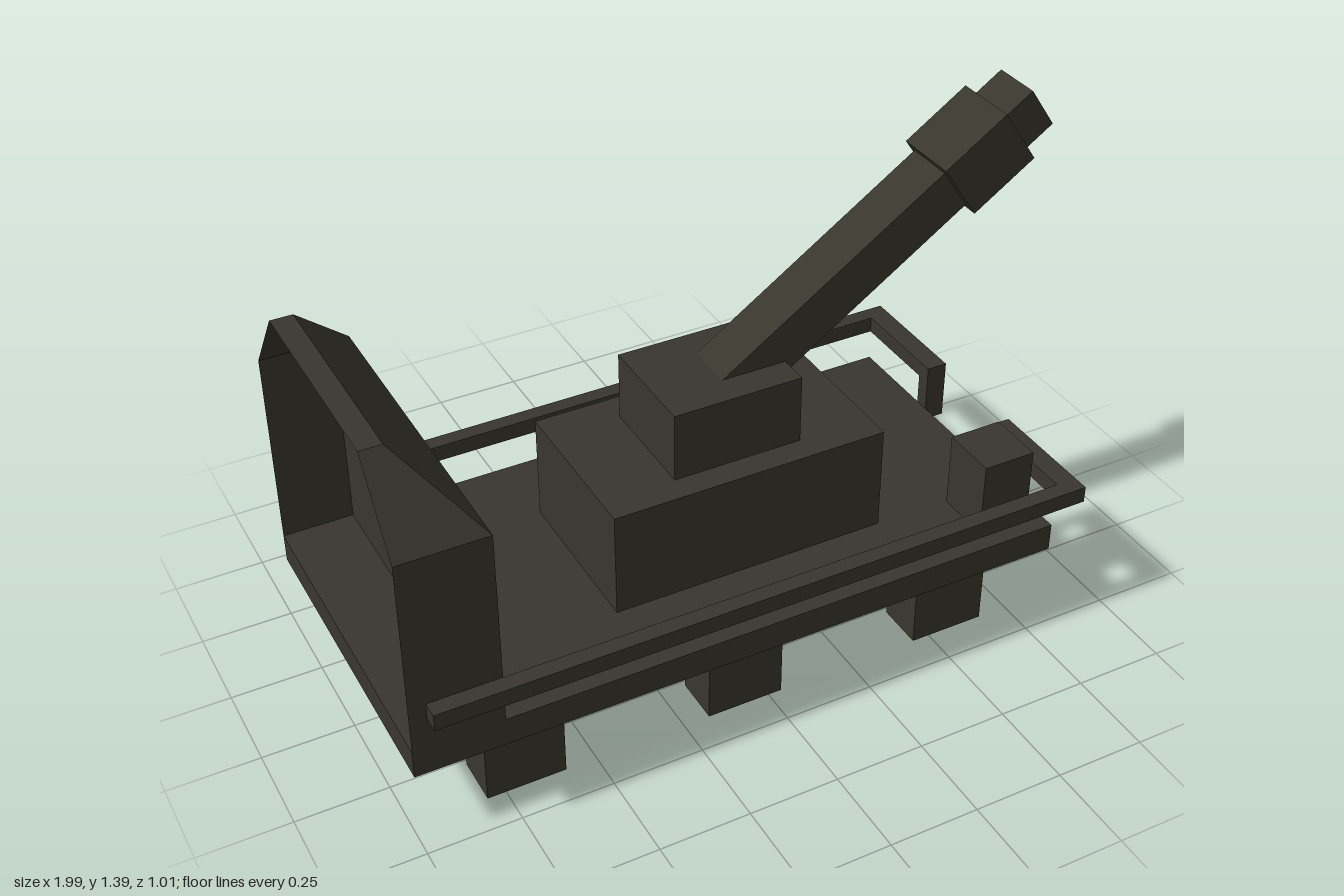
import * as THREE from 'three';

export function createModel() {
  const model = new THREE.Group();
  const paint = new THREE.MeshStandardMaterial({ color: 0x38362d, side: THREE.DoubleSide });
  paint.name = 'dark olive';

  const add = (name, geometry, parent = model) => {
    const mesh = new THREE.Mesh(geometry, paint);
    mesh.name = name;
    parent.add(mesh);
    return mesh;
  };
  // Box given by its limits on each axis
  const box = (name, [x0, x1], [y0, y1], [z0, z1], parent) => {
    const mesh = add(name, new THREE.BoxGeometry(x1 - x0, y1 - y0, z1 - z0), parent);
    mesh.position.set((x0 + x1) / 2, (y0 + y1) / 2, (z0 + z1) / 2);
    return mesh;
  };
  const span = (s, a, b) => (s > 0 ? [a, b] : [-b, -a]);

  // Deck, gun housing and locker
  box('deck', [-1, 0.83], [0.22, 0.3], [-0.46, 0.46]);
  box('gunBase', [-0.355, 0.425], [0.3, 0.6], [-0.235, 0.235]);
  box('turret', [-0.15, 0.215], [0.6, 0.795], [-0.15, 0.163]);
  box('locker', [0.64, 0.79], [0.3, 0.515], [0.24, 0.4]);

  for (const s of [1, -1]) {
    // Feet
    for (const x of [-0.8, -0.177, 0.45]) {
      box('foot', [x, x + 0.215], [0, 0.22], span(s, 0.265, 0.4));
    }
    // Railing: long side bar, end bar and hanging post
    const rail = new THREE.Group();
    rail.name = 'railing';
    model.add(rail);
    box('sideRail', [-0.955, 0.89], [0.39, 0.437], span(s, 0.462, 0.507), rail);
    box('endRail', [0.83, 0.89], [0.39, 0.437], span(s, 0.155, 0.462), rail);
    box('railPost', [0.83, 0.89], [0.263, 0.39], span(s, 0.155, 0.197), rail);
  }

  // Gun, built along x and then raised
  const gun = new THREE.Group();
  gun.name = 'gun';
  gun.position.set(0.957, 1.34, 0.008);
  gun.rotation.z = 0.594;
  model.add(gun);
  box('barrel', [-1.09, 0], [-0.066, 0.066], [-0.07, 0.07], gun);
  box('muzzleCollar', [-0.305, -0.095], [-0.089, 0.089], [-0.093, 0.093], gun);

  // Cabin: front wall with doorway, thin sides and roof, open at the rear
  const cabin = new THREE.Group();
  cabin.name = 'cabin';
  model.add(cabin);
  const wall = new THREE.Shape([
    [-0.458, 0.3], [-0.11, 0.3], [-0.11, 0.705], [0.11, 0.705],
    [0.11, 0.3], [0.458, 0.3], [0.458, 0.86], [-0.458, 0.86],
  ].map(([x, y]) => new THREE.Vector2(x, y)));
  const wallGeometry = new THREE.ExtrudeGeometry(wall, { depth: 0.045, bevelEnabled: false });
  wallGeometry.rotateY(Math.PI / 2).translate(-0.805, 0, 0);
  add('doorWall', wallGeometry, cabin);

  const panel = (name, a, b, c, d) => {
    const geometry = new THREE.BufferGeometry();
    geometry.setAttribute('position',
      new THREE.Float32BufferAttribute([a, b, c, a, c, d].flat(), 3));
    geometry.computeVertexNormals();
    add(name, geometry, cabin);
  };
  for (const s of [1, -1]) {
    const z = 0.46 * s, t = 0.3 * s;
    const side = [[-1, 0.3, z], [-0.76, 0.3, z], [-0.76, 0.86, z], [-1, 0.86, z]];
    const slope = [[-1, 0.86, z], [-0.76, 0.86, z], [-0.94, 1.07, t], [-1, 1.07, t]];
    if (s < 0) { side.reverse(); slope.reverse(); }
    panel('cabinSide', ...side);
    panel('roofSide', ...slope);
  }
  panel('roofFront', [-0.76, 0.86, 0.46], [-0.76, 0.86, -0.46], [-0.94, 1.07, -0.3], [-0.94, 1.07, 0.3]);
  panel('roofTop', [-1, 1.07, 0.3], [-0.94, 1.07, 0.3], [-0.94, 1.07, -0.3], [-1, 1.07, -0.3]);

  return model;
}
